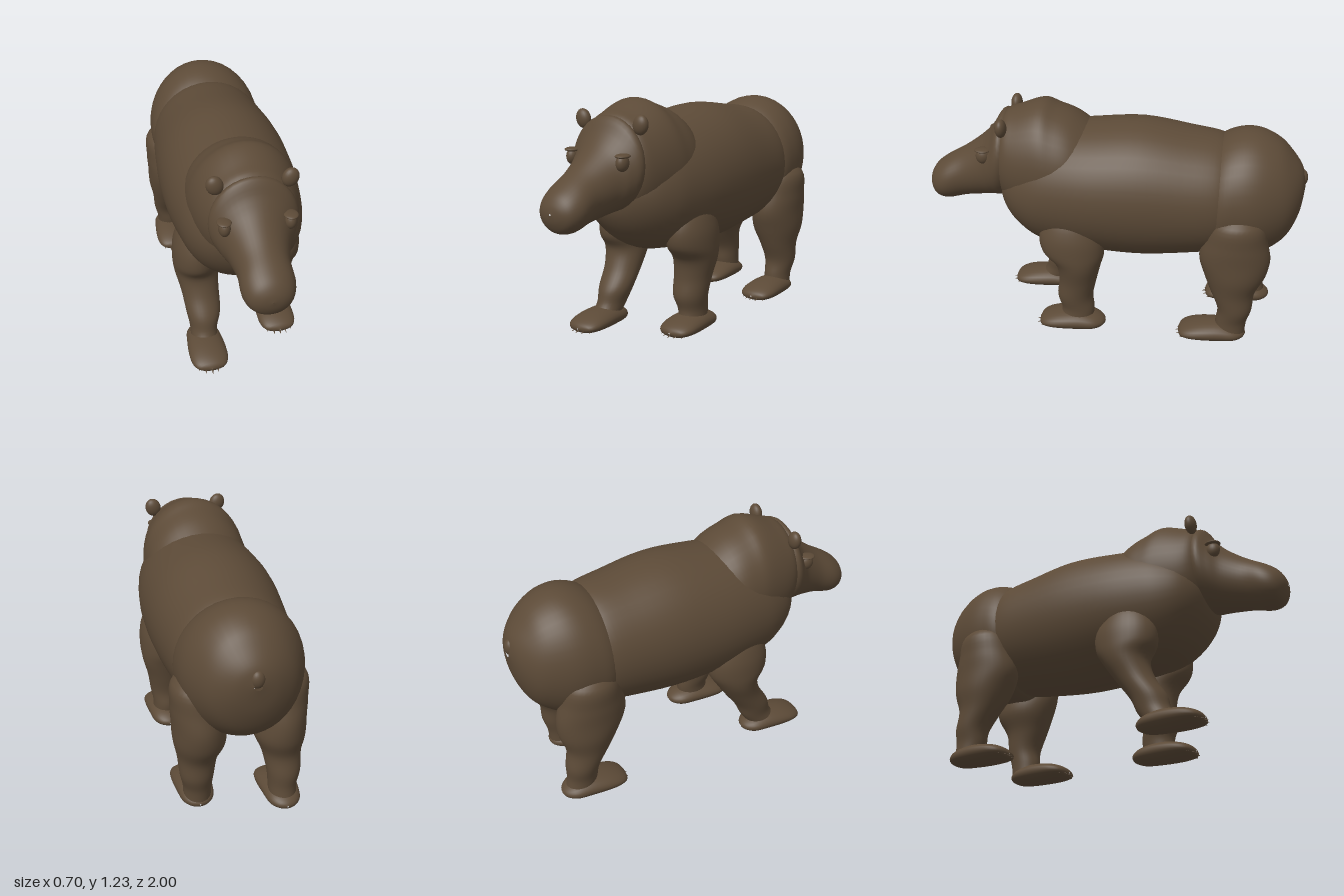
import * as THREE from 'three';

const fur = new THREE.MeshStandardMaterial({ color: 0x5c4a37 });
fur.name = 'brownFur';

// Catmull-Rom blend of four section values
function blend(a, b, c, d, t) {
  return 0.5 * (2 * b + (c - a) * t + (2 * a - 5 * b + 4 * c - d) * t * t + (3 * b - a - 3 * c + d) * t * t * t);
}

// Smooth skin through elliptical sections, ordered by rising position along the axis.
// axis 'z': [z, x, y, halfWidth, halfHeight]; axis 'y': [y, x, z, halfWidth, halfDepth]
function loft(sections, axis, sides = 32, steps = 5) {
  const last = sections.length - 1, rings = [];
  const at = (i) => sections[Math.min(Math.max(i, 0), last)];
  for (let i = 0; i < last; i++) {
    for (let s = 0; s < steps; s++) {
      rings.push(at(i).map((_, k) => blend(at(i - 1)[k], at(i)[k], at(i + 1)[k], at(i + 2)[k], s / steps)));
    }
  }
  rings.push(at(last));
  const pos = [], index = [];
  rings.forEach(([t, a, b, ra, rb], i) => {
    for (let j = 0; j < sides; j++) {
      const th = (j / sides) * Math.PI * 2;
      const u = a + Math.max(ra, 0.001) * Math.cos(th);
      const v = Math.max(rb, 0.001) * Math.sin(th);
      if (axis === 'z') pos.push(u, b + v, t);
      else pos.push(u, t, b - v);
      if (i < rings.length - 1) {
        const p = i * sides + j, q = i * sides + (j + 1) % sides;
        index.push(p, q, q + sides, p, q + sides, p + sides);
      }
    }
  });
  const g = new THREE.BufferGeometry();
  g.setAttribute('position', new THREE.Float32BufferAttribute(pos, 3));
  g.setIndex(index);
  g.computeVertexNormals();
  return g;
}

function add(parent, name, geometry) {
  const m = new THREE.Mesh(geometry, fur);
  m.name = name;
  parent.add(m);
  return m;
}

function ball(parent, name, p, r) {
  const m = add(parent, name, new THREE.SphereGeometry(1, 24, 16));
  m.position.set(...p);
  m.scale.set(...r);
  return m;
}

// Body section from its top and bottom heights
const slice = (z, top, bottom, half) => [z, 0, (top + bottom) / 2, half, (top - bottom) / 2];

const frontLeg = [
  [0.05, 0.21, 0.18, 0.07, 0.09], [0.12, 0.205, 0.17, 0.072, 0.088],
  [0.2, 0.2, 0.185, 0.09, 0.095], [0.3, 0.205, 0.17, 0.1, 0.1],
  [0.4, 0.215, 0.165, 0.115, 0.12], [0.48, 0.22, 0.19, 0.118, 0.165],
  [0.58, 0.22, 0.2, 0.11, 0.165], [0.68, 0.2, 0.2, 0.09, 0.12], [0.75, 0.19, 0.2, 0.01, 0.01],
];
const hindLeg = [
  [0.05, 0.21, -0.65, 0.07, 0.08], [0.12, 0.21, -0.655, 0.072, 0.082],
  [0.2, 0.215, -0.67, 0.085, 0.09], [0.3, 0.21, -0.655, 0.1, 0.115],
  [0.4, 0.2, -0.66, 0.13, 0.16], [0.5, 0.205, -0.655, 0.13, 0.183],
  [0.6, 0.215, -0.655, 0.125, 0.165], [0.72, 0.22, -0.66, 0.11, 0.13], [0.8, 0.2, -0.66, 0.01, 0.01],
];
const footSections = [
  [-0.18, 0, 0.045, 0.004, 0.004], [-0.165, 0, 0.046, 0.045, 0.022], [-0.12, 0, 0.05, 0.08, 0.042],
  [-0.04, 0, 0.055, 0.093, 0.054], [0.05, 0, 0.052, 0.1, 0.051], [0.12, 0, 0.046, 0.095, 0.04],
  [0.165, 0, 0.04, 0.068, 0.024], [0.18, 0, 0.038, 0.004, 0.004],
];

// Leg, foot and claws; stride moves the foot forward while the hip stays put
function makeLeg(name, sections, side, footZ, stride) {
  const leg = new THREE.Group();
  leg.name = name;
  const posed = sections.map(([y, x, z, rx, rz]) =>
    [y, x * side, z + stride * Math.pow(Math.max(0, 1 - y / 0.55), 1.5), rx, rz]);
  add(leg, 'limb', loft(posed, 'y'));
  const foot = new THREE.Group();
  foot.name = 'foot';
  foot.position.set(0.21 * side, 0, footZ);
  add(foot, 'paw', loft(footSections, 'z', 28, 4));
  for (let i = -2; i <= 2; i++) {
    const claw = add(foot, 'claw', new THREE.ConeGeometry(0.01, 0.05, 8));
    claw.position.set(i * 0.032, 0.028, 0.175 - 0.008 * i * i);
    claw.rotation.x = Math.PI / 2 + 0.3;
  }
  leg.add(foot);
  return leg;
}

export function createModel() {
  const bear = new THREE.Group();
  bear.name = 'bear';

  add(bear, 'torso', loft([
    slice(-0.62, 1.05, 0.5, 0.27), slice(-0.55, 1.09, 0.46, 0.305), slice(-0.4, 1.115, 0.435, 0.327),
    slice(-0.15, 1.15, 0.41, 0.347), slice(0.1, 1.13, 0.42, 0.345), slice(0.3, 1.1, 0.44, 0.32),
    slice(0.42, 1.05, 0.48, 0.29), slice(0.52, 0.98, 0.565, 0.235), slice(0.58, 0.9, 0.66, 0.15),
    slice(0.6, 0.8, 0.76, 0.02),
  ], 'z', 40));

  add(bear, 'rump', loft([
    slice(-0.99, 0.87, 0.83, 0.02), slice(-0.97, 0.94, 0.7, 0.11), slice(-0.92, 1.01, 0.58, 0.195),
    slice(-0.85, 1.08, 0.505, 0.25), slice(-0.75, 1.125, 0.45, 0.295), slice(-0.65, 1.125, 0.44, 0.31),
    slice(-0.55, 1.08, 0.45, 0.3), slice(-0.45, 0.98, 0.55, 0.22),
  ], 'z', 40));
  ball(bear, 'tail', [0, 0.88, -0.97], [0.035, 0.045, 0.03]);

  add(bear, 'neckHump', loft([
    slice(0.08, 1.08, 0.65, 0.22), slice(0.2, 1.165, 0.6, 0.27), slice(0.3, 1.205, 0.58, 0.28),
    slice(0.38, 1.23, 0.575, 0.275), slice(0.5, 1.19, 0.62, 0.25), slice(0.57, 1.16, 0.68, 0.215),
    slice(0.61, 1.08, 0.75, 0.15),
  ], 'z', 40));

  add(bear, 'head', loft([
    slice(0.5, 1.1, 0.76, 0.17), slice(0.58, 1.165, 0.7, 0.22), slice(0.64, 1.085, 0.69, 0.193),
    slice(0.7, 1.02, 0.68, 0.157), slice(0.8, 0.945, 0.665, 0.13), slice(0.9, 0.885, 0.643, 0.13),
    slice(0.96, 0.84, 0.655, 0.105), slice(0.99, 0.795, 0.7, 0.06), slice(1, 0.755, 0.745, 0.005),
  ], 'z', 40));

  for (const side of [1, -1]) {
    const label = side > 0 ? 'left' : 'right';
    const ear = ball(bear, label + 'Ear', [0.182, 1.13, 0.56], [0.042, 0.05, 0.03]);
    const eye = ball(bear, label + 'Eye', [0.158, 0.96, 0.668], [0.03, 0.042, 0.037]);
    const lid = ball(bear, label + 'Eyelid', [0.16, 0.994, 0.668], [0.036, 0.011, 0.042]);
    for (const m of [ear, eye, lid]) m.position.x *= side;
    ear.rotation.z = -0.3 * side;
  }

  // Walking stance
  bear.add(
    makeLeg('leftFrontLeg', frontLeg, 1, 0.2, 0),
    makeLeg('rightFrontLeg', frontLeg, -1, 0.43, 0.25),
    makeLeg('leftHindLeg', hindLeg, 1, -0.555, 0),
    makeLeg('rightHindLeg', hindLeg, -1, -0.67, -0.11),
  );
  return bear;
}
